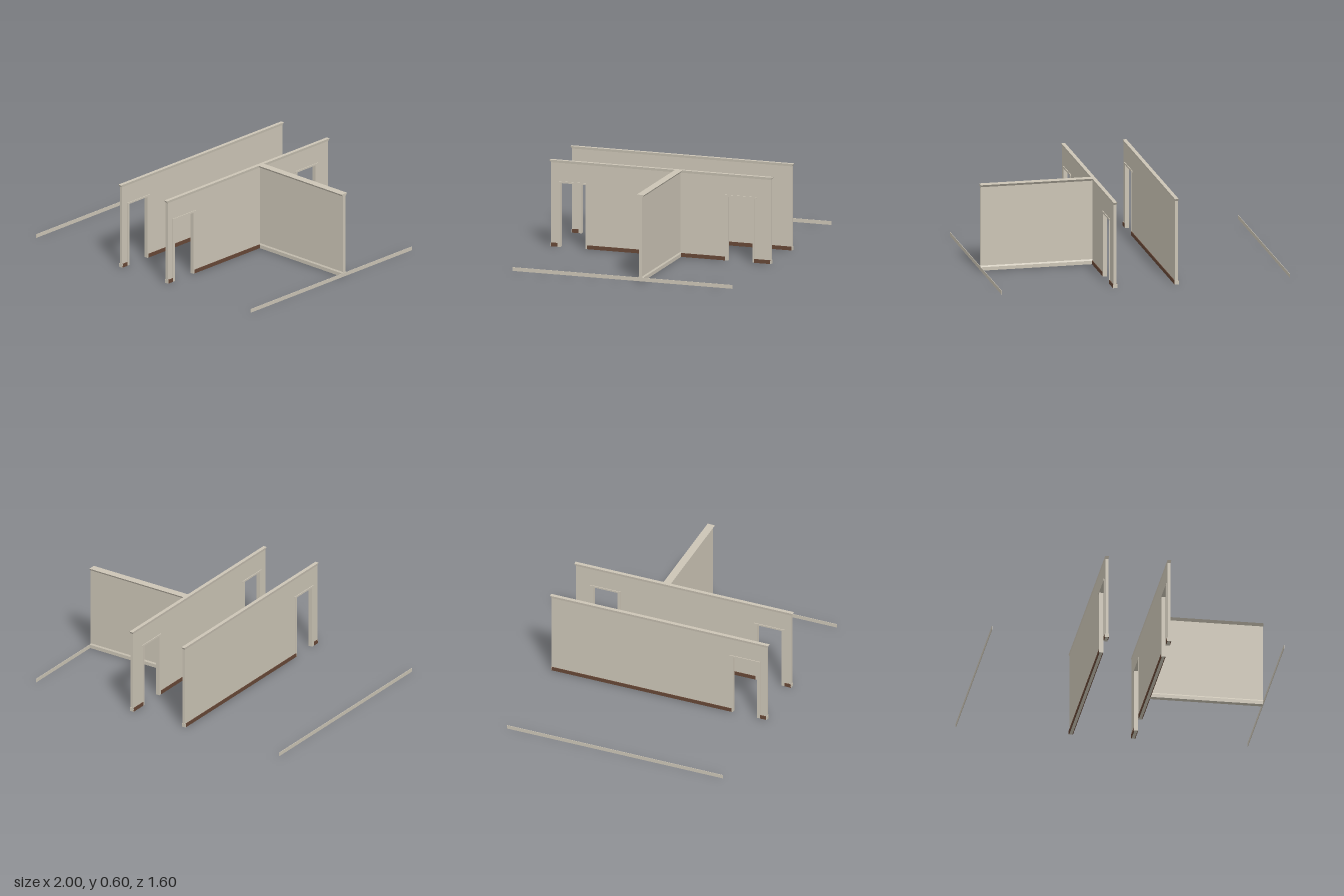
import * as THREE from 'three';

const plaster = new THREE.MeshStandardMaterial({ color: 0xcbc4b5 });
plaster.name = 'plaster';
const brown = new THREE.MeshStandardMaterial({ color: 0x664736 });
brown.name = 'brown skirting';

const H = 0.6, HALF_LEN = 0.788, HALF_T = 0.0105;
const DOOR_W = 0.18, DOOR_H = 0.445;

function add(parent, name, geometry, material = plaster) {
  const mesh = new THREE.Mesh(geometry, material);
  mesh.name = name;
  parent.add(mesh);
  return mesh;
}

// Box given by its limits
function box(parent, name, x0, x1, y0, y1, z0, z1, material) {
  const g = new THREE.BoxGeometry(x1 - x0, y1 - y0, z1 - z0);
  g.translate((x0 + x1) / 2, (y0 + y1) / 2, (z0 + z1) / 2);
  return add(parent, name, g, material);
}

// Cornice: a shallow box whose underside is drawn in
function cornice(parent, w, d, insetX, insetZ, x, z) {
  const h = 0.017, g = new THREE.BoxGeometry(w, h, d).toNonIndexed();
  const p = g.attributes.position;
  for (let i = 0; i < p.count; i++) {
    if (p.getY(i) > 0) continue;
    p.setX(i, p.getX(i) - Math.sign(p.getX(i)) * insetX);
    p.setZ(i, p.getZ(i) - Math.sign(p.getZ(i)) * insetZ);
  }
  g.computeVertexNormals();
  g.translate(x, H - h / 2, z);
  add(parent, 'cornice', g);
}

// Door casing: two jambs and a projecting head around an opening
function doorCasing(parent, z) {
  const casing = new THREE.Group();
  casing.name = 'doorCasing';
  casing.position.z = z;
  const a = DOOR_W / 2, t = 0.014;
  box(casing, 'wideJamb', -t, t, 0, 0.45, a - 0.001, a + 0.02);
  box(casing, 'narrowJamb', -t, t, 0, 0.45, -a - 0.01, -a + 0.001);
  box(casing, 'doorHead', -0.0155, 0.0155, DOOR_H - 0.001, 0.456, -a - 0.025, a + 0.02);
  parent.add(casing);
}

// Corridor wall along z with doorways at the given centres (descending z)
function corridorWall(name, x, doors) {
  const wall = new THREE.Group();
  wall.name = name;
  wall.position.x = x;
  const a = DOOR_W / 2;

  // Outline in (z, y), notched at each doorway
  const pts = [[-HALF_LEN, 0]];
  for (const z of [...doors].reverse()) {
    pts.push([z - a, 0], [z - a, DOOR_H], [z + a, DOOR_H], [z + a, 0]);
  }
  pts.push([HALF_LEN, 0], [HALF_LEN, H - 0.001], [-HALF_LEN, H - 0.001]);
  const shape = new THREE.Shape(pts.map(([u, v]) => new THREE.Vector2(u, v)));
  const g = new THREE.ExtrudeGeometry(shape, { depth: HALF_T * 2, bevelEnabled: false });
  g.translate(0, 0, -HALF_T);
  g.rotateY(-Math.PI / 2);
  add(wall, 'wallPanel', g);

  cornice(wall, 0.026, 1.6, 0.0025, 0.012, 0, 0);
  doors.forEach((z) => doorCasing(wall, z));

  // Skirting runs between the casings on both faces
  let end = HALF_LEN;
  const runs = [];
  for (const z of doors) {
    runs.push([z + a + 0.02, end]);
    end = z - a - 0.01;
  }
  runs.push([-HALF_LEN, end]);
  for (const [z0, z1] of runs) {
    box(wall, 'skirtingRight', HALF_T, 0.015, 0, 0.026, z0, z1, brown);
    box(wall, 'skirtingLeft', -0.015, -HALF_T, 0, 0.026, z0, z1, brown);
  }
  // Plain skirting returns on the wall ends
  for (const s of [-1, 1]) {
    const z = s * HALF_LEN;
    box(wall, 'skirtingReturn', -0.015, 0.015, 0, 0.026, z - 0.0025, z + 0.0025);
  }
  return wall;
}

// Partition branching off towards +x
function partition() {
  const wall = new THREE.Group();
  wall.name = 'partitionWall';
  const z = -0.129;
  box(wall, 'partitionPanel', 0.213, 0.998, 0, H - 0.001, z - 0.012, z + 0.012);
  cornice(wall, 0.787, 0.054, 0, 0.014, 0.6045, z);
  // Skirting with a sloped top edge
  const s = new THREE.Shape();
  s.moveTo(-0.018, 0);
  s.lineTo(0.018, 0);
  s.lineTo(0.018, 0.024);
  s.lineTo(0.012, 0.034);
  s.lineTo(-0.012, 0.034);
  s.lineTo(-0.018, 0.024);
  const g = new THREE.ExtrudeGeometry(s, { depth: 0.775, bevelEnabled: false });
  g.rotateY(Math.PI / 2);
  g.translate(0.2235, 0, z);
  add(wall, 'partitionSkirting', g);
  return wall;
}

export function createModel() {
  const model = new THREE.Group();
  model.name = 'corridorWalls';
  model.add(corridorWall('rightCorridorWall', -0.213, [0.63]));
  model.add(corridorWall('leftCorridorWall', 0.213, [0.63, -0.57]));
  model.add(partition());
  // Free-standing skirting strips at the outer edges
  box(model, 'outerSkirtingLeft', 0.997, 1, 0, 0.026, -0.79, 0.79);
  box(model, 'outerSkirtingRight', -1, -0.997, 0, 0.026, -0.79, 0.79);
  return model;
}
